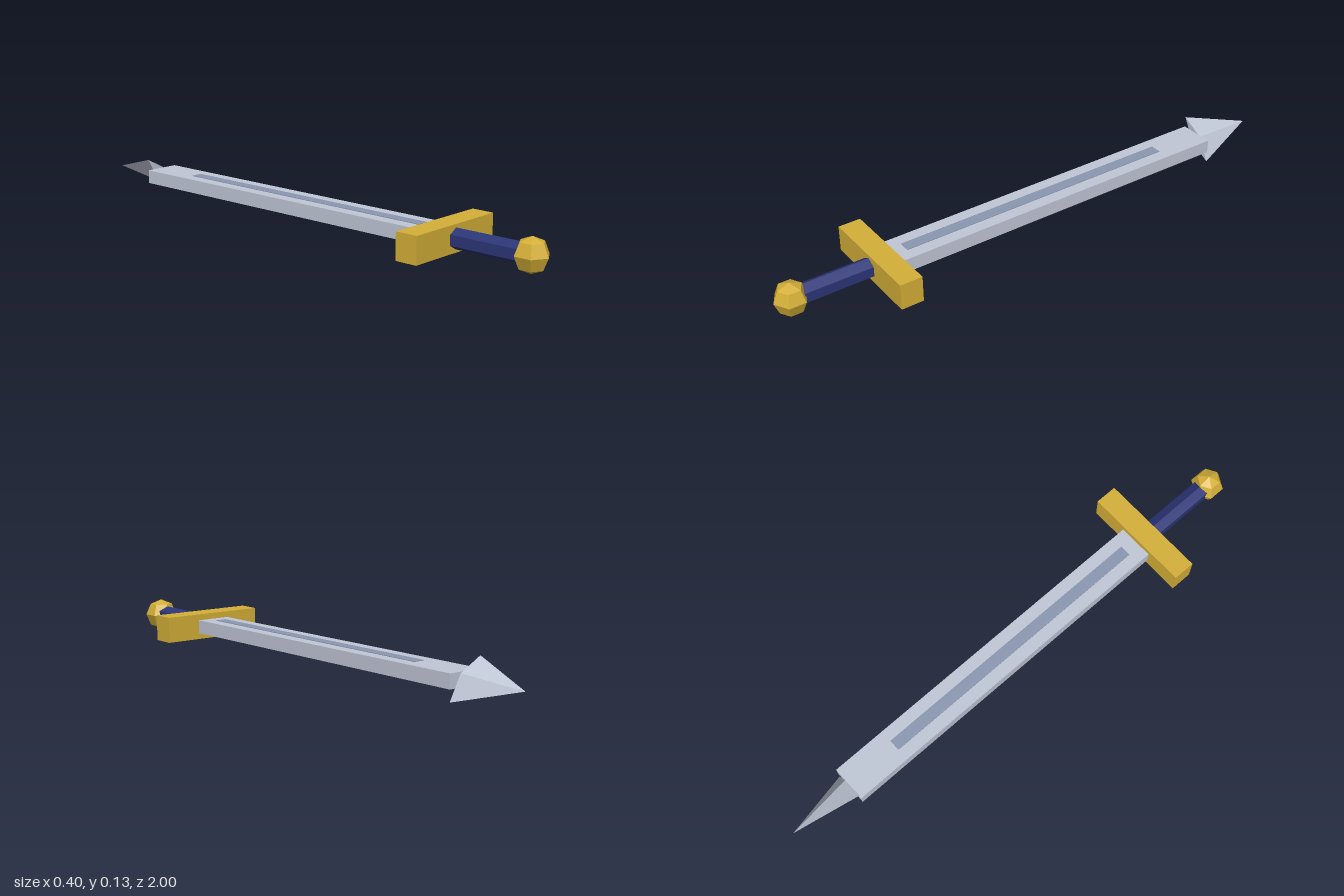
import * as THREE from 'three';

const AXIS_Y = 0.0675; // height of the sword's long axis

const material = (name, color) => {
  const m = new THREE.MeshStandardMaterial({ color });
  m.name = name;
  return m;
};

// Faceted copy of a geometry, one normal per face
function faceted(geometry) {
  const g = geometry.index ? geometry.toNonIndexed() : geometry;
  g.computeVertexNormals();
  return g;
}

export function createModel() {
  const steel = material('steel', 0xc0c7d6);
  const darkSteel = material('darkSteel', 0x8a97b0);
  const gold = material('gold', 0xd4af37);
  const blue = material('blue', 0x2c3577);

  const sword = new THREE.Group();
  sword.name = 'sword';

  const add = (name, geometry, mat, z, y = AXIS_Y) => {
    const mesh = new THREE.Mesh(faceted(geometry), mat);
    mesh.name = name;
    mesh.position.set(0, y, z);
    sword.add(mesh);
  };
  // Box spanning z0..z1 along the sword
  const addBar = (name, w, h, z0, z1, mat, y) =>
    add(name, new THREE.BoxGeometry(w, h, z1 - z0), mat, (z0 + z1) / 2, y);

  // Blade with a thin fuller plate on each flat side
  addBar('blade', 0.132, 0.05, -0.758, 0.58, steel);
  for (const [name, side] of [['upperFuller', 1], ['lowerFuller', -1]])
    addBar(name, 0.042, 0.006, -0.557, 0.523, darkSteel, AXIS_Y + side * 0.024);

  // Tip: flattened four-sided cone, turned 45 degrees about the long axis
  const tip = new THREE.ConeGeometry(0.0928, 0.242, 4);
  tip.scale(1, 1, 0.3);
  tip.rotateX(-Math.PI / 2);
  tip.rotateZ(-Math.PI / 4);
  add('tip', tip, steel, -0.879);

  // Crossguard
  addBar('crossguard', 0.404, 0.095, 0.575, 0.657, gold);

  // Six-sided grip
  const grip = new THREE.CylinderGeometry(0.036, 0.036, 0.28, 6);
  grip.rotateX(Math.PI / 2);
  add('grip', grip, blue, 0.77);

  // Faceted pommel
  const pommel = new THREE.SphereGeometry(0.06, 6, 4);
  pommel.rotateY(Math.PI / 2);
  add('pommel', pommel, gold, 0.94);

  return sword;
}
